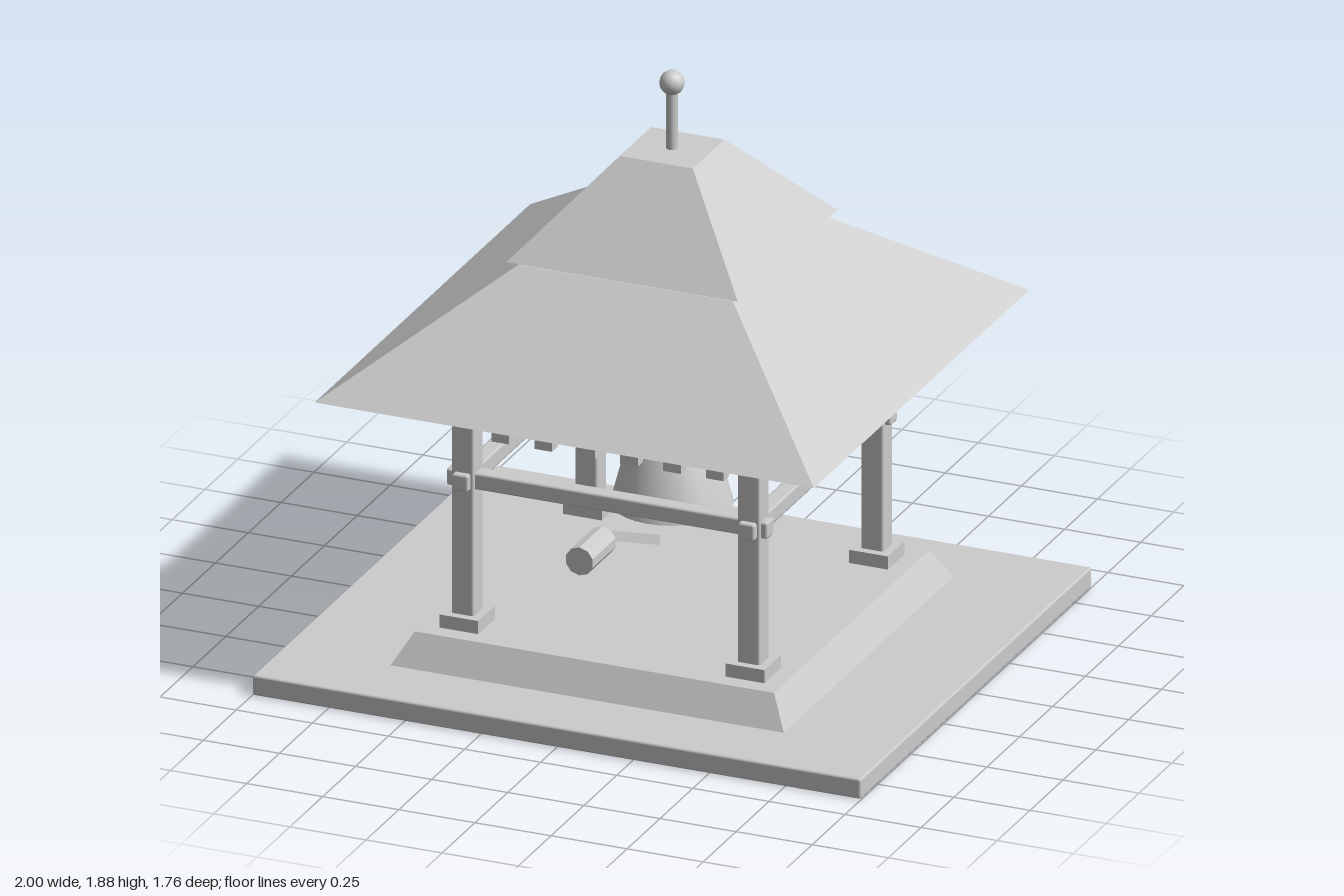
import * as THREE from 'three';
import { toCreasedNormals } from 'three/addons/utils/BufferGeometryUtils.js';
import { RoundedBoxGeometry } from 'three/addons/geometries/RoundedBoxGeometry.js';

export function createModel() {
  const model = new THREE.Group();
  model.name = 'bellPavilion';
  const grey = new THREE.MeshStandardMaterial({ color: 0xcccccc });
  grey.name = 'pale grey';
  const greyOpen = new THREE.MeshStandardMaterial({ color: 0xcccccc, side: THREE.DoubleSide });
  greyOpen.name = 'pale grey';

  const add = (name, geometry, x = 0, y = 0, z = 0, material = grey) => {
    const mesh = new THREE.Mesh(geometry, material);
    mesh.name = name;
    mesh.position.set(x, y, z);
    model.add(mesh);
    return mesh;
  };
  const box = (w, h, d) => new THREE.BoxGeometry(w, h, d);
  const softBox = (w, h, d) => new RoundedBoxGeometry(w, h, d, 1, 0.008);

  // Square frustum standing between two heights, given by half widths
  const frustum = (name, halfBottom, halfTop, y0, y1) => {
    const g = new THREE.CylinderGeometry(halfTop * Math.SQRT2, halfBottom * Math.SQRT2, y1 - y0, 4);
    g.rotateY(Math.PI / 4);
    add(name, toCreasedNormals(g, 0.3), 0, (y0 + y1) / 2, 0);
  };

  // Ground slab and sloped plinth
  add('baseSlab', softBox(2, 0.067, 1.76), 0, 0.0335, 0);
  frustum('plinth', 0.646, 0.59, 0.067, 0.166);

  // Corner posts on square feet
  const corner = 0.47;
  for (const sx of [-1, 1]) {
    for (const sz of [-1, 1]) {
      add('postFoot', box(0.128, 0.044, 0.128), sx * corner, 0.187, sz * corner);
      add('post', softBox(0.075, 0.79, 0.075), sx * corner, 0.59, sz * corner);
    }
  }

  // Two rings of tie beams that cross at the posts
  for (const y of [0.918, 0.648]) {
    for (const s of [-1, 1]) {
      add('crossBeam', softBox(1.055, 0.055, 0.055), 0, y, s * corner);
      add('sideBeam', softBox(0.055, 0.055, 1.055), s * corner, y, 0);
    }
  }

  // Row of small blocks under the front beam
  for (let i = 0; i < 6; i++) {
    add('frontBlock', box(0.058, 0.08, 0.04), (i - 2.5) * 0.141, 0.826, corner);
  }

  // Two-tier roof
  frustum('lowerRoof', 0.82, 0.353, 0.97, 1.317);
  frustum('upperRoof', 0.38, 0.12, 1.332, 1.622);

  // Finial
  add('finialPole', new THREE.CylinderGeometry(0.018, 0.018, 0.2, 10), 0, 1.72, 0);
  add('finialBall', new THREE.SphereGeometry(0.039, 12, 8), 0, 1.837, 0);

  // Bell and its hanger
  const profile = [[0.187, 0.46], [0.142, 0.63], [0.072, 0.763], [0, 0.763]]
    .map(([r, y]) => new THREE.Vector2(r, y));
  add('bell', toCreasedNormals(new THREE.LatheGeometry(profile, 28), 0.6), 0, 0, 0, greyOpen);
  add('bellHanger', box(0.027, 0.15, 0.027), 0, 0.9, 0);

  // Striker: a round log on a sloping arm in front of the bell
  const log = new THREE.CylinderGeometry(0.046, 0.046, 0.175, 10);
  log.rotateX(Math.PI / 2);
  add('strikerLog', toCreasedNormals(log, 0.4), 0, 0.543, 0.618);
  const arm = add('strikerArm', box(0.027, 0.03, 0.434), 0, 0.47, 0.321);
  arm.rotation.x = -0.41;

  return model;
}
